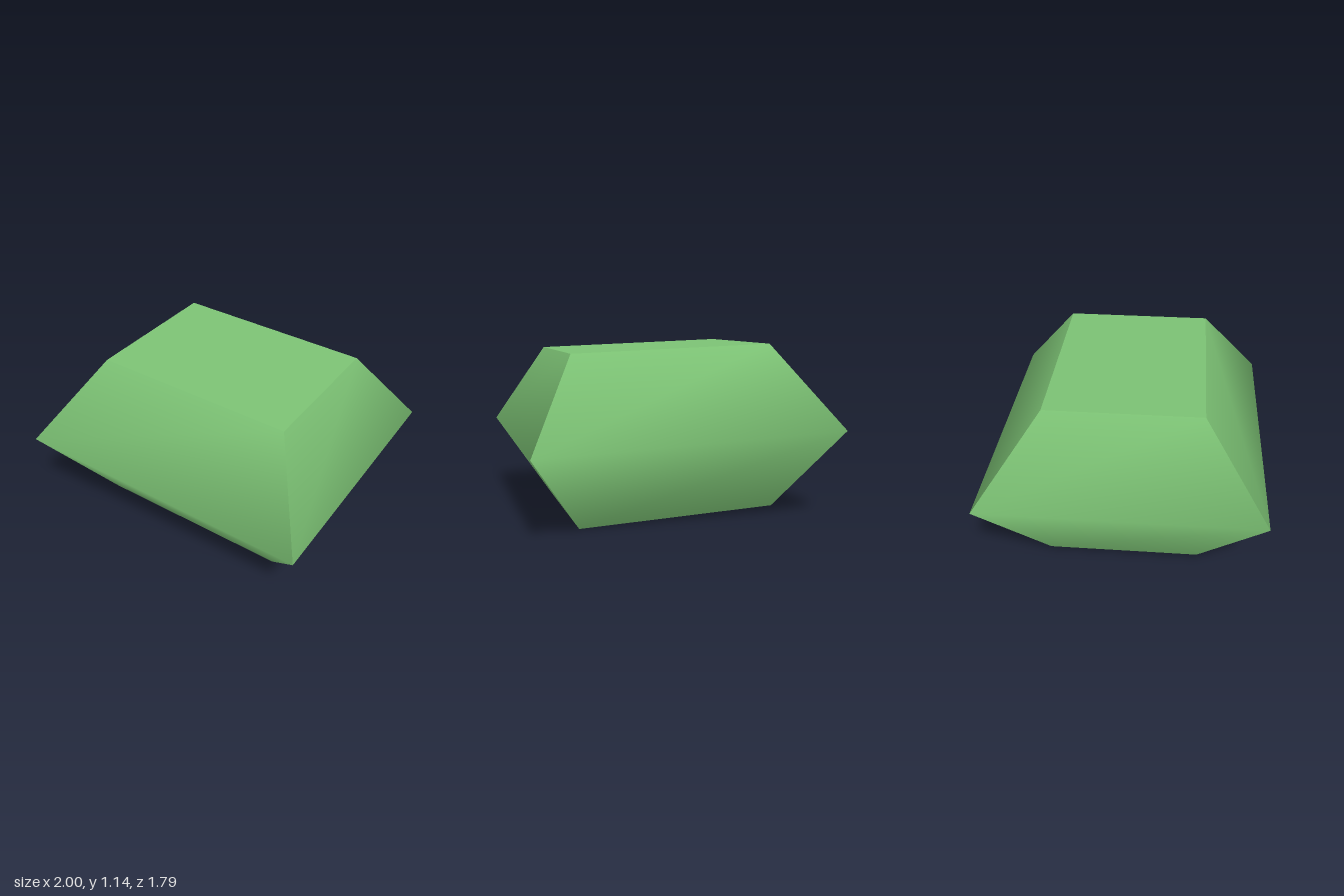
import * as THREE from 'three';

const material = new THREE.MeshStandardMaterial({ color: 0x7cc274 });

// Rectangular cross-sections: half width, height, half depth
const levels = [[0.665, -0.5485, 0.49], [1, 0, 0.897], [0.665, 0.5485, 0.49]];
const corners = [[1, 1], [1, -1], [-1, -1], [-1, 1]];
const point = (level, corner) => {
  const [w, y, d] = levels[level];
  const [sx, sz] = corners[corner % 4];
  return [sx * w, y, sz * d];
};

function makeMesh(name, points, index) {
  const geometry = new THREE.BufferGeometry();
  geometry.setAttribute('position', new THREE.Float32BufferAttribute(points.flat(), 3));
  geometry.setIndex(index);
  geometry.computeVertexNormals();
  const mesh = new THREE.Mesh(geometry, material);
  mesh.name = name;
  return mesh;
}

export function createModel() {
  const group = new THREE.Group();
  group.name = 'model';
  const block = new THREE.Group();
  block.name = 'bulgedBlock';

  // Four sides, each shaded smoothly across the waist, hard at the corners
  ['leftSide', 'backSide', 'rightSide', 'frontSide'].forEach((name, i) => {
    const points = [];
    for (let l = 0; l < 3; l++) points.push(point(l, i), point(l, i + 1));
    block.add(makeMesh(name, points, [0, 1, 3, 0, 3, 2, 2, 3, 5, 2, 5, 4]));
  });

  // Flat caps
  block.add(makeMesh('topFace', corners.map((_, i) => point(2, i)), [0, 1, 2, 0, 2, 3]));
  block.add(makeMesh('bottomFace', corners.map((_, i) => point(0, i)), [0, 2, 1, 0, 3, 2]));

  // Slight sideways tilt
  block.rotation.z = -0.034;
  block.position.y = 0.572;
  group.add(block);
  return group;
}
